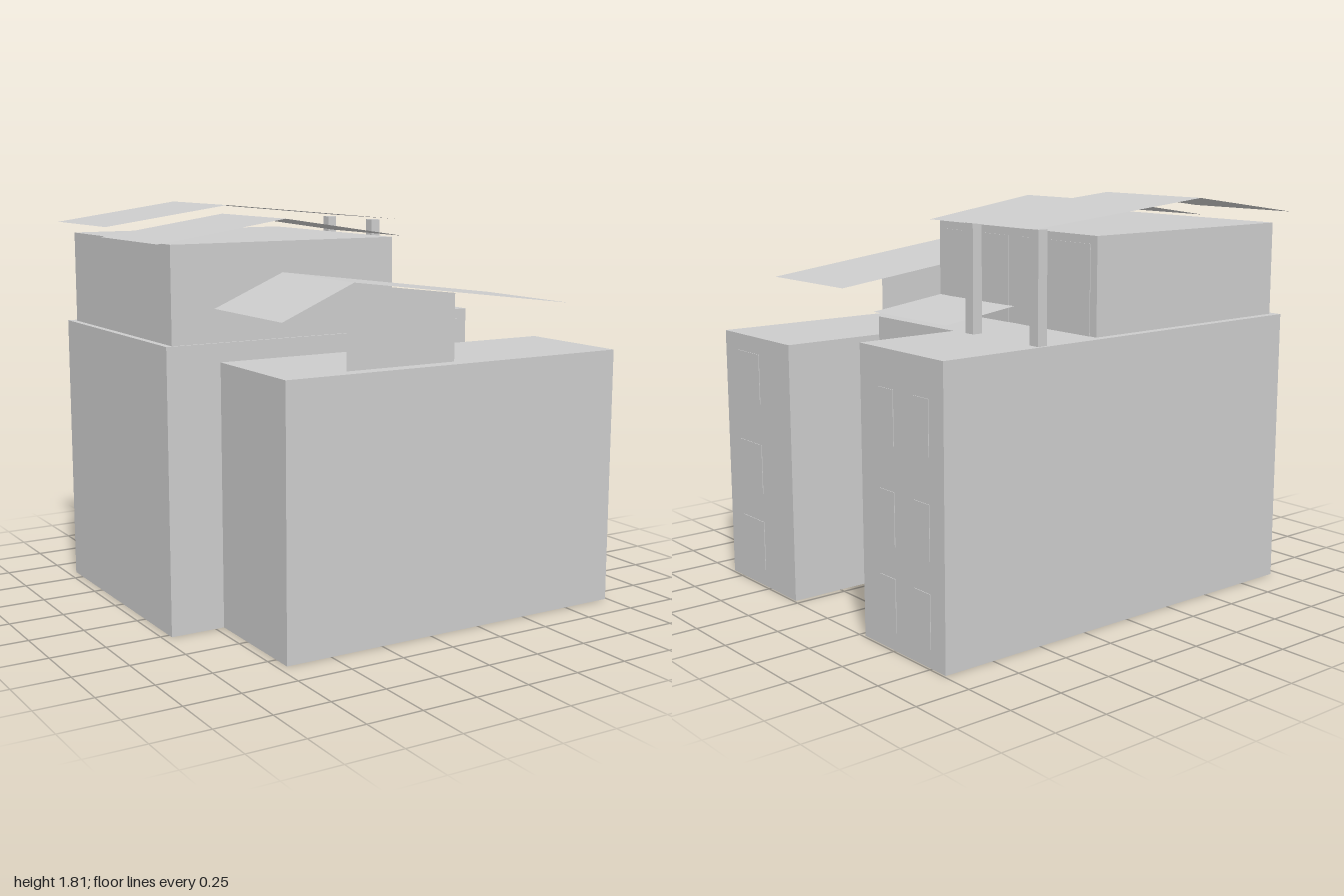
import * as THREE from 'three';

export function createModel() {
  const model = new THREE.Group();
  model.name = 'apartmentBlock';
  const plaster = new THREE.MeshStandardMaterial({ color: 0xcccccc, side: THREE.DoubleSide });
  plaster.name = 'pale grey plaster';

  const add = (name, geometry) => {
    const mesh = new THREE.Mesh(geometry, plaster);
    mesh.name = name;
    model.add(mesh);
    return mesh;
  };

  // Box given by its limits on each axis
  const box = (name, x0, x1, y0, y1, z0, z1) =>
    add(name, new THREE.BoxGeometry(x1 - x0, y1 - y0, z1 - z0))
      .position.set((x0 + x1) / 2, (y0 + y1) / 2, (z0 + z1) / 2);

  // Thin folded sheet following an [x, y] profile between two depths
  const sheet = (name, profile, z0, z1) => {
    const pos = [];
    for (let i = 0; i < profile.length - 1; i++) {
      const [ax, ay] = profile[i], [bx, by] = profile[i + 1];
      pos.push(ax, ay, z0, ax, ay, z1, bx, by, z1);
      pos.push(ax, ay, z0, bx, by, z1, bx, by, z0);
    }
    const g = new THREE.BufferGeometry();
    g.setAttribute('position', new THREE.Float32BufferAttribute(pos, 3));
    g.computeVertexNormals();
    add(name, g);
  };

  // Three joined wings
  box('frontWing', -0.71, 0.99, 0, 1.172, 0.28, 0.84);
  box('middleWing', -0.96, 0.51, 0, 1.255, -0.28, 0.28);
  box('backWing', -0.96, 0.99, 0, 1.255, -0.84, -0.28);

  // Rooftop storey with two wide panels on its terrace side
  box('rooftopStorey', -0.93, 0.165, 1.255, 1.675, -0.8, 0.27);
  box('terracePanel', 0.165, 0.168, 1.255, 1.64, -0.23, 0.21);
  box('terracePanel', 0.165, 0.168, 1.255, 1.64, -0.76, -0.32);

  // Upright screen wall under the front roof
  const screen = new THREE.Shape([
    new THREE.Vector2(-0.415, 1.18), new THREE.Vector2(0.12, 1.18),
    new THREE.Vector2(0.12, 1.47), new THREE.Vector2(-0.415, 1.535),
  ]);
  add('frontScreenWall', new THREE.ShapeGeometry(screen)).position.z = 0.815;

  // Folded sheet roofs and the low terrace canopy
  sheet('frontRoof', [[-0.73, 1.4], [-0.4, 1.54], [0.71, 1.4]], 0.27, 0.85);
  sheet('middleRoof', [[-1, 1.68], [-0.4, 1.77], [0.2, 1.68]], -0.3, 0.3);
  sheet('backRoof', [[-0.99, 1.725], [-0.39, 1.81], [0.545, 1.725]], -0.85, -0.27);
  sheet('terraceCanopy', [[0.165, 1.33], [0.545, 1.28]], -0.27, 0.27);

  // Posts carrying the back roof
  for (const z of [-0.385, -0.8]) box('roofPost', 0.46, 0.507, 1.255, 1.72, z - 0.026, z + 0.026);

  // Window plates on the end walls: wall x, window z range
  const columns = [
    [0.51, 0.06, 0.17], [0.51, -0.17, -0.065],
    [0.99, -0.51, -0.405], [0.99, -0.745, -0.64],
    [0.99, 0.54, 0.73],
  ];
  for (const [x, z0, z1] of columns)
    for (const y of [0.08, 0.445, 0.865]) box('window', x, x + 0.003, y, y + 0.23, z0, z1);

  return model;
}
